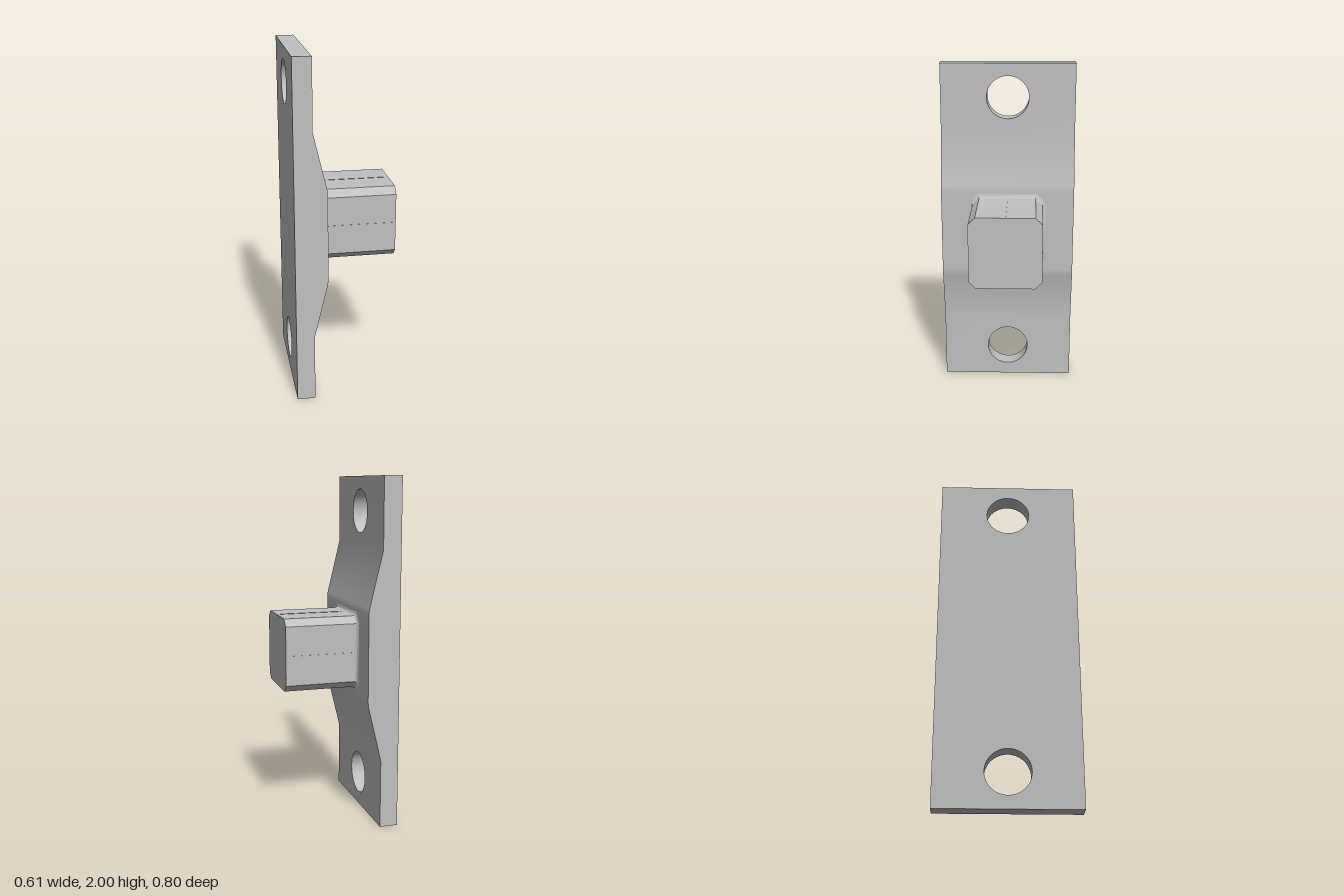
import * as THREE from 'three';
import { mergeGeometries, toCreasedNormals } from 'three/addons/utils/BufferGeometryUtils.js';

const BACK = -0.305, FACE = -0.2, RAISED = -0.12, TIP = 0.305, HALF_W = 0.4;

// Drop the hidden triangles where neighbouring plate sections meet
function openJoints(geo) {
  const p = geo.attributes.position, kept = [];
  const onJoint = (y) => Math.abs(y - 0.4) < 1e-4 || Math.abs(y - 1.6) < 1e-4;
  for (let i = 0; i < p.count; i += 3) {
    if ([0, 1, 2].every((k) => onJoint(p.getY(i + k))) &&
        Math.abs(p.getY(i) - p.getY(i + 1)) < 1e-4 && Math.abs(p.getY(i) - p.getY(i + 2)) < 1e-4) continue;
    for (let k = 0; k < 3; k++) kept.push(p.getX(i + k), p.getY(i + k), p.getZ(i + k));
  }
  const out = new THREE.BufferGeometry();
  out.setAttribute('position', new THREE.Float32BufferAttribute(kept, 3));
  return out;
}

// Flat end of the plate with its screw hole
function plateEnd(y0, y1) {
  const s = new THREE.Shape();
  s.moveTo(-HALF_W, y0).lineTo(HALF_W, y0).lineTo(HALF_W, y1).lineTo(-HALF_W, y1).closePath();
  const hole = new THREE.Path();
  hole.absarc(0, (y0 + y1) / 2, 0.126, 0, Math.PI * 2, true);
  s.holes.push(hole);
  const g = new THREE.ExtrudeGeometry(s, { depth: FACE - BACK, bevelEnabled: false, curveSegments: 32 });
  g.rotateY(Math.PI / 2).translate(BACK, 0, 0);
  return openJoints(g);
}

// Thickened middle with sloping shoulders, softly bent at the top of each slope
function plateMiddle() {
  const s = new THREE.Shape();
  s.moveTo(BACK, 0.4).lineTo(FACE, 0.4).lineTo(-0.1255, 0.71);
  s.quadraticCurveTo(RAISED, 0.733, RAISED, 0.757);
  s.lineTo(RAISED, 1.243);
  s.quadraticCurveTo(RAISED, 1.267, -0.1255, 1.29);
  s.lineTo(FACE, 1.6).lineTo(BACK, 1.6).closePath();
  const g = new THREE.ExtrudeGeometry(s, { depth: 2 * HALF_W, bevelEnabled: false, curveSegments: 5 });
  g.translate(0, 0, -HALF_W);
  return openJoints(g);
}

// Square peg with chamfered corners, flaring into a fillet at its base
function pegGeometry() {
  const r = 0.025, steps = 6, rings = [];
  for (let i = 0; i <= steps; i++) {
    const t = (i / steps) * Math.PI / 2;
    rings.push([RAISED + r * (1 - Math.cos(t)), r * (1 - Math.sin(t))]);
  }
  rings.push([TIP, 0]);
  const pos = [], idx = [];
  for (const [x, o] of rings) {
    const a = 0.21 + o, b = 0.17 + o * 0.414;
    for (const [y, z] of [[b, a], [a, b], [a, -b], [b, -a], [-b, -a], [-a, -b], [-a, b], [-b, a]])
      pos.push(x, 1 + y, z);
  }
  for (let i = 0; i < rings.length - 1; i++) {
    for (let k = 0; k < 8; k++) {
      const a = i * 8 + k, b = i * 8 + (k + 1) % 8;
      idx.push(a, b, a + 8, b, b + 8, a + 8);
    }
  }
  const last = (rings.length - 1) * 8;
  for (let k = 1; k < 7; k++) idx.push(last, last + k, last + k + 1);
  // Wind every face outwards
  for (let i = 0; i < idx.length; i += 3) {
    const v = [0, 1, 2].map((k) => new THREE.Vector3().fromArray(pos, idx[i + k] * 3));
    const n = v[1].clone().sub(v[0]).cross(v[2].clone().sub(v[0]));
    const mid = v[0].add(v[1]).add(v[2]).divideScalar(3);
    if (n.dot(mid.sub(new THREE.Vector3(-0.1, 1, 0))) < 0) [idx[i + 1], idx[i + 2]] = [idx[i + 2], idx[i + 1]];
  }
  const g = new THREE.BufferGeometry();
  g.setAttribute('position', new THREE.Float32BufferAttribute(pos, 3));
  g.setIndex(idx);
  return toCreasedNormals(g.toNonIndexed(), 0.6);
}

export function createModel() {
  const group = new THREE.Group();
  group.name = 'mountingBracket';
  const grey = new THREE.MeshStandardMaterial({ color: 0xc0c0c0 });
  grey.name = 'light grey';

  const add = (name, geo) => {
    const m = new THREE.Mesh(geo, grey);
    m.name = name;
    group.add(m);
    return m;
  };

  const plate = mergeGeometries([plateEnd(0, 0.4), plateMiddle(), plateEnd(1.6, 2)]);
  add('mountingPlate', toCreasedNormals(plate, 0.5));
  add('peg', pegGeometry());

  // Hairline ribs along the middle of each peg side
  for (let i = 0; i < 4; i++) {
    const a = i * Math.PI / 2;
    const rib = add('pegRib', new THREE.BoxGeometry(0.375, 0.004, 0.004));
    rib.position.set(0.0975, 1 + 0.21 * Math.cos(a), 0.21 * Math.sin(a));
  }
  return group;
}
